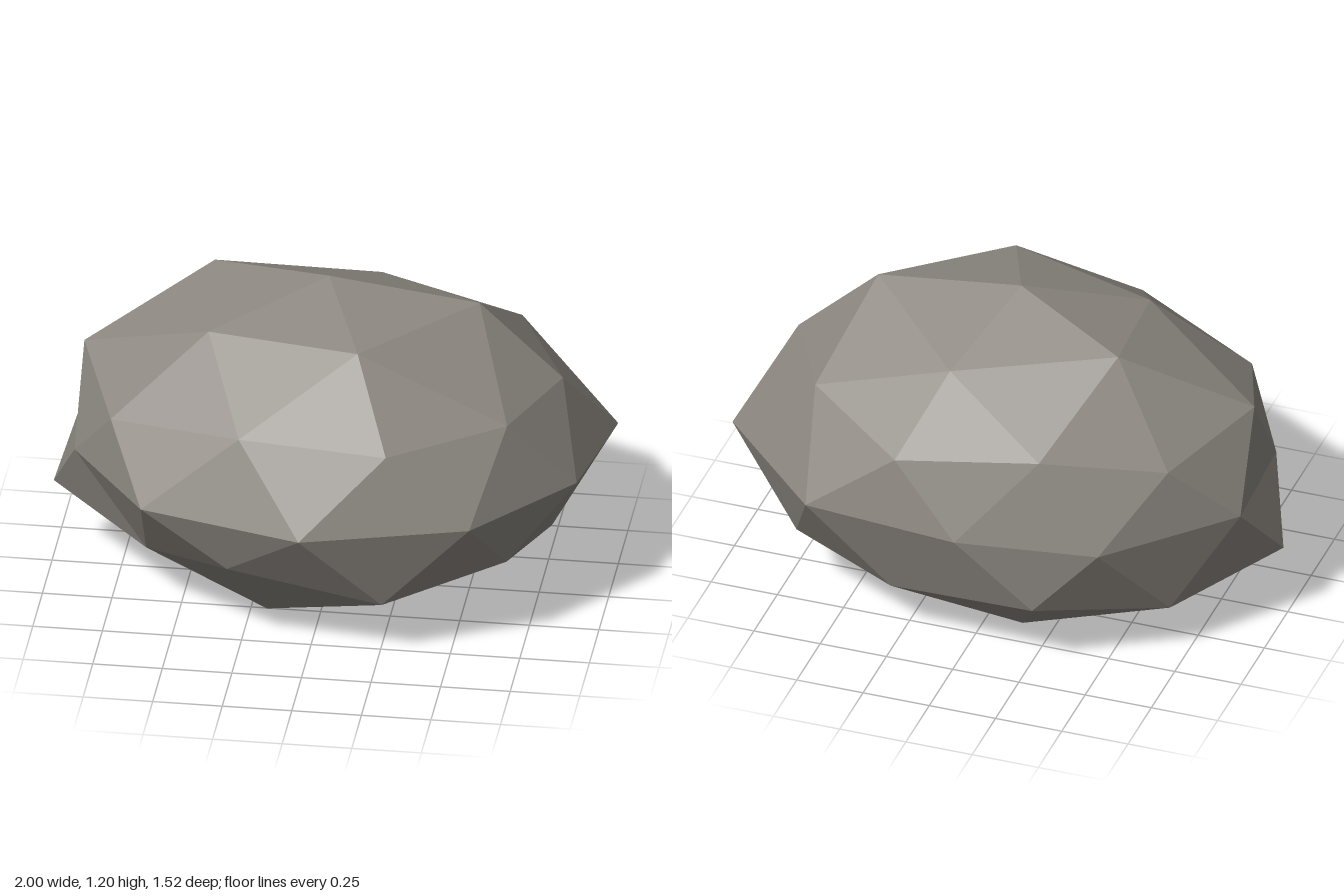
import * as THREE from 'three';

// Horizontal loops of corners, each running from +x round through +z
const TOP = [-0.01, 1.2, -0.045];
const UPPER_CROWN = [
  [0.53, 1.13, -0.045], [0.145, 1.1, 0.34], [-0.41, 1.075, 0.2],
  [-0.45, 1.12, -0.255], [0.13, 1.03, -0.41],
];
const UPPER_BELT = [
  [0.83, 0.85, -0.045], [0.68, 0.84, 0.325], [0.28, 0.82, 0.585], [-0.25, 0.85, 0.575],
  [-0.74, 0.78, 0.355], [-0.89, 0.875, -0.045], [-0.7, 0.79, -0.43], [-0.29, 0.875, -0.65],
  [0.24, 0.8, -0.69], [0.63, 0.88, -0.435],
];
const MIDDLE = [
  [0.91, 0.18], [0.58, 0.59], [-0.01, 0.76], [-0.6, 0.59], [-0.895, 0.175],
  [-0.915, -0.265], [-0.525, -0.685], [-0.01, -0.765], [0.57, -0.71], [0.995, -0.285],
].map(([x, z]) => [x, 0.55, z]);
const LOWER_BELT = [
  [0.68, 0.3, 0.34], [0.265, 0.225, 0.585], [-0.29, 0.335, 0.595], [-0.62, 0.24, 0.3],
  [-1, 0.3, -0.045], [-0.7, 0.205, -0.41], [-0.28, 0.275, -0.695], [0.28, 0.215, -0.62],
  [0.69, 0.27, -0.465], [0.79, 0.25, -0.045],
];
const LOWER_CROWN = [
  [0.4, 0.11, 0.19], [-0.18, 0.05, 0.345], [-0.48, 0, -0.045],
  [-0.15, 0.03, -0.425], [0.39, 0.06, -0.285],
];
const BOTTOM = [-0.01, 0.03, -0.045];

// Joins pole, five-sided crown, ten-sided belt and middle loop with triangles
function stitchHalf(out, pole, crown, belt, shift, flip) {
  const at = (loop, i) => loop[(i + loop.length) % loop.length];
  const tri = (a, b, c) => out.push(...a, ...(flip ? c : b), ...(flip ? b : c));
  for (let i = 0; i < 5; i++) {
    const c = crown[i], next = at(crown, i + 1), j = 2 * i;
    tri(pole, next, c);
    tri(c, at(belt, j), at(belt, j - 1));
    tri(c, at(belt, j + 1), at(belt, j));
    tri(c, next, at(belt, j + 1));
  }
  for (let j = 0; j < 10; j++) {
    const m = at(MIDDLE, j + shift);
    tri(belt[j], m, at(MIDDLE, j + shift - 1));
    tri(belt[j], at(belt, j + 1), m);
  }
}

export function createModel() {
  const stone = new THREE.MeshStandardMaterial({ color: 0x8c8780, flatShading: true });
  stone.name = 'warm grey stone';

  const corners = [];
  stitchHalf(corners, TOP, UPPER_CROWN, UPPER_BELT, 0, false);
  stitchHalf(corners, BOTTOM, LOWER_CROWN, LOWER_BELT, 1, true);

  const geometry = new THREE.BufferGeometry();
  geometry.setAttribute('position', new THREE.Float32BufferAttribute(corners, 3));
  geometry.computeVertexNormals();

  const rock = new THREE.Mesh(geometry, stone);
  rock.name = 'boulder';
  const group = new THREE.Group();
  group.name = 'rock';
  group.add(rock);
  return group;
}
